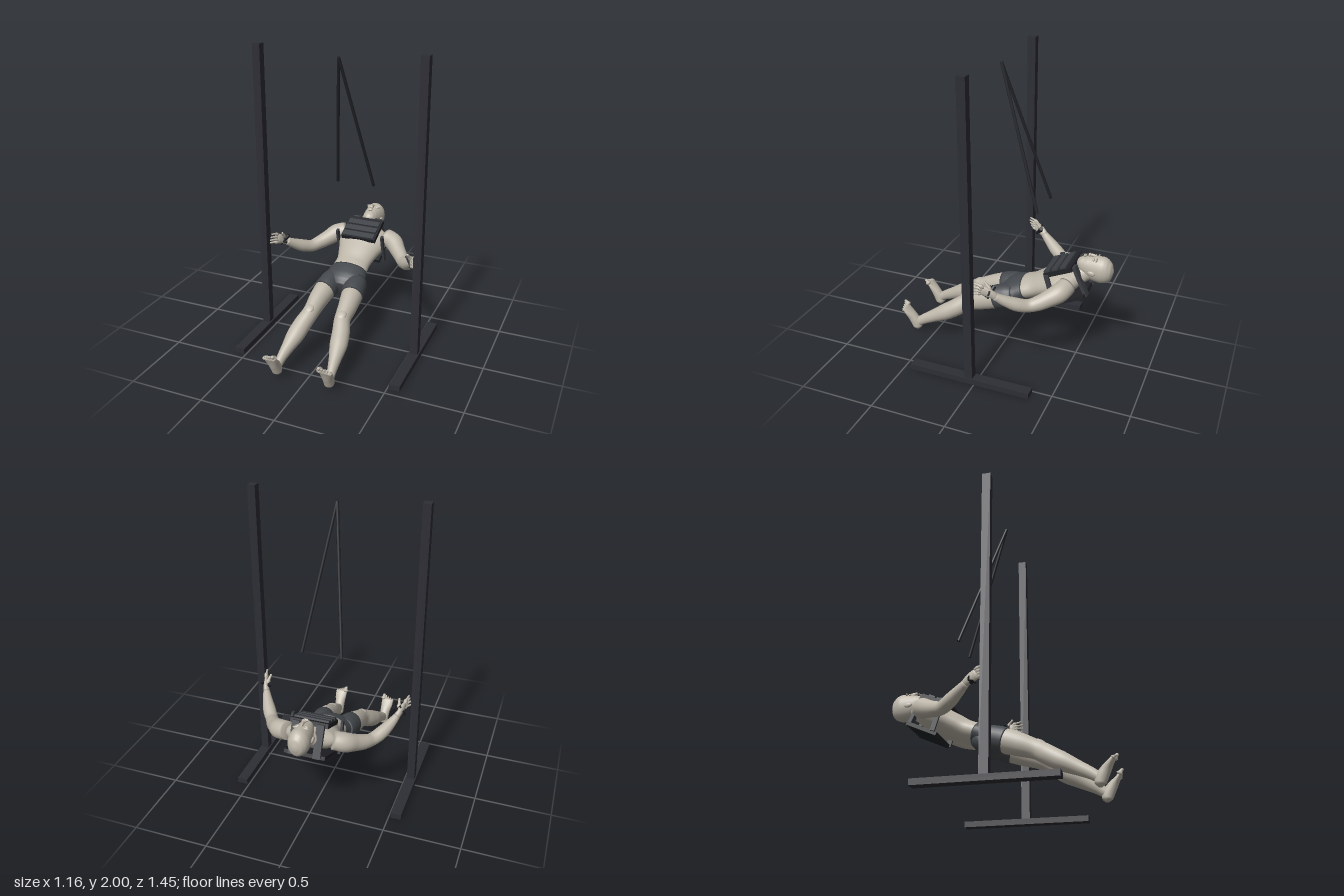
import * as THREE from 'three';

const mat = (name, color) => Object.assign(new THREE.MeshStandardMaterial({ color }), { name });
const SKIN = mat('skin', 0xbdb6a9);
const SHORTS = mat('shorts grey', 0x45494d);
const FRAME = mat('frame metal', 0x2d2d35);
const STRAP = mat('strap black', 0x222328);
const PAD = mat('pad grey', 0x3c3f44);
const TILT = 0.42;

function mesh(parent, name, geo, material, x = 0, y = 0, z = 0, rx = 0) {
  const m = new THREE.Mesh(geo, material);
  m.name = name;
  m.position.set(x, y, z);
  m.rotation.x = rx;
  parent.add(m);
  return m;
}

function box(parent, name, [w, h, d], material, x, y, z, rx = 0) {
  return mesh(parent, name, new THREE.BoxGeometry(w, h, d), material, x, y, z, rx);
}

function blob(parent, name, [a, b, c], material, x, y, z, rx = 0) {
  const geo = new THREE.SphereGeometry(1, 20, 14).scale(a, b, c);
  return mesh(parent, name, geo, material, x, y, z, rx);
}

// Closed smooth body through elliptical sections [x, y, z, sideRadius, depthRadius]
function loft(parent, name, sections, material, sides = 24, steps = 5) {
  const path = new THREE.CatmullRomCurve3(sections.map(s => new THREE.Vector3(s[0], s[1], s[2])));
  const radii = new THREE.CatmullRomCurve3(sections.map(s => new THREE.Vector3(s[3], s[4], 0)));
  const n = (sections.length - 1) * steps, pos = [], index = [];
  for (let i = 0; i <= n; i++) {
    const c = path.getPoint(i / n), r = radii.getPoint(i / n), t = path.getTangent(i / n);
    const s = new THREE.Vector3(1, 0, 0).addScaledVector(t, -t.x).normalize();
    const d = t.clone().cross(s);
    for (let j = 0; j < sides; j++) {
      const a = j / sides * Math.PI * 2;
      pos.push(...c.clone().addScaledVector(s, r.x * Math.cos(a)).addScaledVector(d, r.y * Math.sin(a)).toArray());
    }
  }
  for (let i = 0; i < n; i++) for (let j = 0; j < sides; j++) {
    const k = (j + 1) % sides, a = i * sides, b = a + sides;
    index.push(a + j, a + k, b + j, a + k, b + k, b + j);
  }
  const first = pos.length / 3, end = n * sides;
  pos.push(...path.getPoint(0).toArray(), ...path.getPoint(1).toArray());
  for (let j = 0; j < sides; j++) {
    const k = (j + 1) % sides;
    index.push(first, k, j, first + 1, end + j, end + k);
  }
  const geo = new THREE.BufferGeometry();
  geo.setAttribute('position', new THREE.Float32BufferAttribute(pos, 3));
  geo.setIndex(index);
  geo.computeVertexNormals();
  return mesh(parent, name, geo, material);
}

// Straight rod between two points
function rod(parent, name, a, b, radius, material, sides = 8) {
  const p = new THREE.Vector3(...a), q = new THREE.Vector3(...b), dir = q.clone().sub(p);
  const m = mesh(parent, name, new THREE.CylinderGeometry(radius, radius, dir.length(), sides), material);
  m.position.copy(p).add(q).multiplyScalar(0.5);
  m.quaternion.setFromUnitVectors(new THREE.Vector3(0, 1, 0), dir.normalize());
  return m;
}

function finger(parent, name, a, b, r) {
  const mid = a.map((v, i) => (v + b[i]) / 2);
  mid[1] += 0.003;
  loft(parent, name, [[...a, r, r], [...mid, r, r], [...b, r * 0.7, r * 0.7]], SKIN, 8, 3);
  blob(parent, name + 'Tip', [r * 0.75, r * 0.75, r * 0.75], SKIN, ...b);
}

function buildHead(parent) {
  const head = new THREE.Group();
  head.name = 'head';
  head.position.set(0, 0.677, -0.61);
  head.rotation.x = -Math.PI / 2;
  parent.add(head);
  loft(head, 'skull', [
    [0, -0.117, 0.05, 0.012, 0.012], [0, -0.107, 0.042, 0.034, 0.034], [0, -0.08, 0.024, 0.05, 0.06],
    [0, -0.04, 0.008, 0.06, 0.078], [0, 0, 0, 0.066, 0.088], [0, 0.04, -0.003, 0.069, 0.091],
    [0, 0.075, -0.005, 0.061, 0.08], [0, 0.1, -0.005, 0.042, 0.055], [0, 0.113, -0.005, 0.012, 0.015]], SKIN);
  blob(head, 'noseBridge', [0.008, 0.03, 0.012], SKIN, 0, -0.022, 0.088, -0.2);
  blob(head, 'noseTip', [0.015, 0.01, 0.012], SKIN, 0, -0.046, 0.09);
  blob(head, 'upperLip', [0.022, 0.005, 0.008], SKIN, 0, -0.069, 0.082);
  blob(head, 'lowerLip', [0.019, 0.006, 0.008], SKIN, 0, -0.079, 0.08);
  for (const s of [1, -1]) {
    blob(head, 'brow', [0.023, 0.006, 0.011], SKIN, s * 0.029, 0.008, 0.076);
    blob(head, 'closedEye', [0.014, 0.008, 0.01], SKIN, s * 0.028, -0.012, 0.074);
    blob(head, 'ear', [0.009, 0.026, 0.016], SKIN, s * 0.067, -0.015, -0.008, -0.15);
  }
}

function buildArm(parent, s) {
  loft(parent, 'arm', [
    [s * 0.15, 0.598, -0.465, 0.06, 0.06], [s * 0.215, 0.58, -0.44, 0.063, 0.063], [s * 0.265, 0.552, -0.385, 0.054, 0.055],
    [s * 0.31, 0.53, -0.33, 0.047, 0.048], [s * 0.345, 0.52, -0.275, 0.042, 0.042], [s * 0.385, 0.538, -0.22, 0.043, 0.043],
    [s * 0.43, 0.578, -0.15, 0.033, 0.034], [s * 0.458, 0.612, -0.1, 0.022, 0.025]], SKIN);
  loft(parent, 'palm', [
    [s * 0.456, 0.61, -0.105, 0.021, 0.024], [s * 0.472, 0.633, -0.07, 0.018, 0.031],
    [s * 0.483, 0.65, -0.035, 0.014, 0.034], [s * 0.488, 0.655, -0.02, 0.009, 0.026]], SKIN, 16);
  for (let i = 0; i < 4; i++) {
    const k = i - 1.5;
    finger(parent, 'finger', [s * (0.484 + k * 0.003), 0.652 + k * 0.016, -0.032 - k * 0.006],
      [s * (0.51 - k * 0.005), 0.668 + k * 0.022, 0.03 - Math.abs(k) * 0.006], 0.008);
  }
  finger(parent, 'thumb', [s * 0.464, 0.645, -0.075], [s * 0.452, 0.698, -0.03], 0.01);
  // Hand grip with a triangular loop
  rod(parent, 'gripBar', [s * 0.43, 0.665, -0.085], [s * 0.485, 0.605, -0.055], 0.014, STRAP, 12);
  const loop = mesh(parent, 'gripLoop', new THREE.TorusGeometry(0.042, 0.007, 6, 3), STRAP, s * 0.468, 0.637, -0.065);
  loop.rotation.set(-0.3, s * 0.3, s * 0.5);
}

function buildLeg(parent, s) {
  loft(parent, 'leg', [
    [s * 0.09, 0.395, -0.03, 0.07, 0.074], [s * 0.1, 0.367, 0.06, 0.07, 0.077], [s * 0.108, 0.338, 0.14, 0.063, 0.072],
    [s * 0.114, 0.294, 0.25, 0.053, 0.06], [s * 0.135, 0.25, 0.32, 0.057, 0.06], [s * 0.15, 0.208, 0.39, 0.058, 0.058],
    [s * 0.166, 0.155, 0.49, 0.04, 0.044], [s * 0.176, 0.115, 0.565, 0.029, 0.035], [s * 0.18, 0.085, 0.61, 0.026, 0.03]], SKIN);
  blob(parent, 'kneecap', [0.034, 0.018, 0.04], SKIN, s * 0.114, 0.337, 0.268, 0.5);
  loft(parent, 'foot', [
    [s * 0.18, 0.034, 0.61, 0.016, 0.012], [s * 0.18, 0.055, 0.612, 0.032, 0.034], [s * 0.181, 0.085, 0.621, 0.034, 0.038],
    [s * 0.183, 0.125, 0.645, 0.036, 0.033], [s * 0.187, 0.168, 0.676, 0.043, 0.02], [s * 0.187, 0.196, 0.697, 0.042, 0.013]], SKIN, 20);
  for (let i = 0; i < 5; i++) {
    const x = s * (0.155 + i * 0.0165), r = i ? 0.0085 : 0.014;
    finger(parent, 'toe', [x, 0.19 - i * 0.002, 0.692], [x, 0.218 - i * 0.006, 0.712 - i * 0.003], r);
  }
  // Shorts leg
  loft(parent, 'shortsLeg', [
    [s * 0.085, 0.41, -0.08, 0.068, 0.07], [s * 0.089, 0.395, -0.03, 0.077, 0.082],
    [s * 0.095, 0.38, 0.02, 0.077, 0.084], [s * 0.1, 0.369, 0.054, 0.0745, 0.082]], SHORTS);
  blob(parent, 'shortsSeat', [0.072, 0.066, 0.085], SHORTS, s * 0.066, 0.38, -0.085, TILT);
}

function buildVest(parent) {
  const panel = new THREE.Group();
  panel.name = 'chestPanel';
  panel.position.set(0, 0.664, -0.39);
  panel.rotation.x = TILT;
  parent.add(panel);
  box(panel, 'chestPlate', [0.25, 0.03, 0.198], STRAP, 0, -0.003, 0);
  for (let i = 0; i < 3; i++) box(panel, 'chestSlat', [0.228, 0.016, 0.043], PAD, 0, 0.016, -0.042 + i * 0.058);
  box(parent, 'backPlate', [0.27, 0.024, 0.215], STRAP, 0, 0.482, -0.475, TILT);
  for (const s of [1, -1]) {
    box(parent, 'shoulderStrap', [0.05, 0.215, 0.022], PAD, s * 0.081, 0.612, -0.532, TILT);
    box(parent, 'sideStrap', [0.016, 0.215, 0.03], PAD, s * 0.167, 0.55, -0.36, 0.29);
  }
}

export function createModel() {
  const model = new THREE.Group();
  model.name = 'suspendedFigure';

  // Uprights and hanging lines
  for (const s of [1, -1]) {
    box(model, 'baseRail', [0.07, 0.037, 0.825], FRAME, s * 0.547, 0.0185, 0.041);
    box(model, 'post', [0.052, 1.965, 0.055], FRAME, s * 0.547, 1.0175, 0.041);
    rod(model, 'hangingLine', [0, 1.95, 0.04], [s * 0.13, 1.055, -0.25], 0.0105, STRAP);
  }

  // Figure
  const figure = new THREE.Group();
  figure.name = 'figure';
  model.add(figure);
  loft(figure, 'torso', [
    [0, 0.42, -0.08, 0.11, 0.06], [0, 0.45, -0.14, 0.125, 0.072], [0, 0.476, -0.21, 0.12, 0.074],
    [0, 0.52, -0.3, 0.142, 0.084], [0, 0.56, -0.39, 0.172, 0.091], [0, 0.598, -0.47, 0.165, 0.072],
    [0, 0.622, -0.515, 0.095, 0.058], [0, 0.64, -0.55, 0.056, 0.054], [0, 0.66, -0.6, 0.05, 0.05]], SKIN, 32);
  loft(figure, 'shortsWaist', [
    [0, 0.38, 0.012, 0.07, 0.05], [0, 0.395, -0.025, 0.125, 0.076], [0, 0.415, -0.07, 0.146, 0.084],
    [0, 0.435, -0.11, 0.136, 0.082], [0, 0.453, -0.148, 0.128, 0.077]], SHORTS, 32);
  buildHead(figure);
  for (const s of [1, -1]) {
    buildArm(figure, s);
    buildLeg(figure, s);
  }
  buildVest(figure);
  return model;
}
